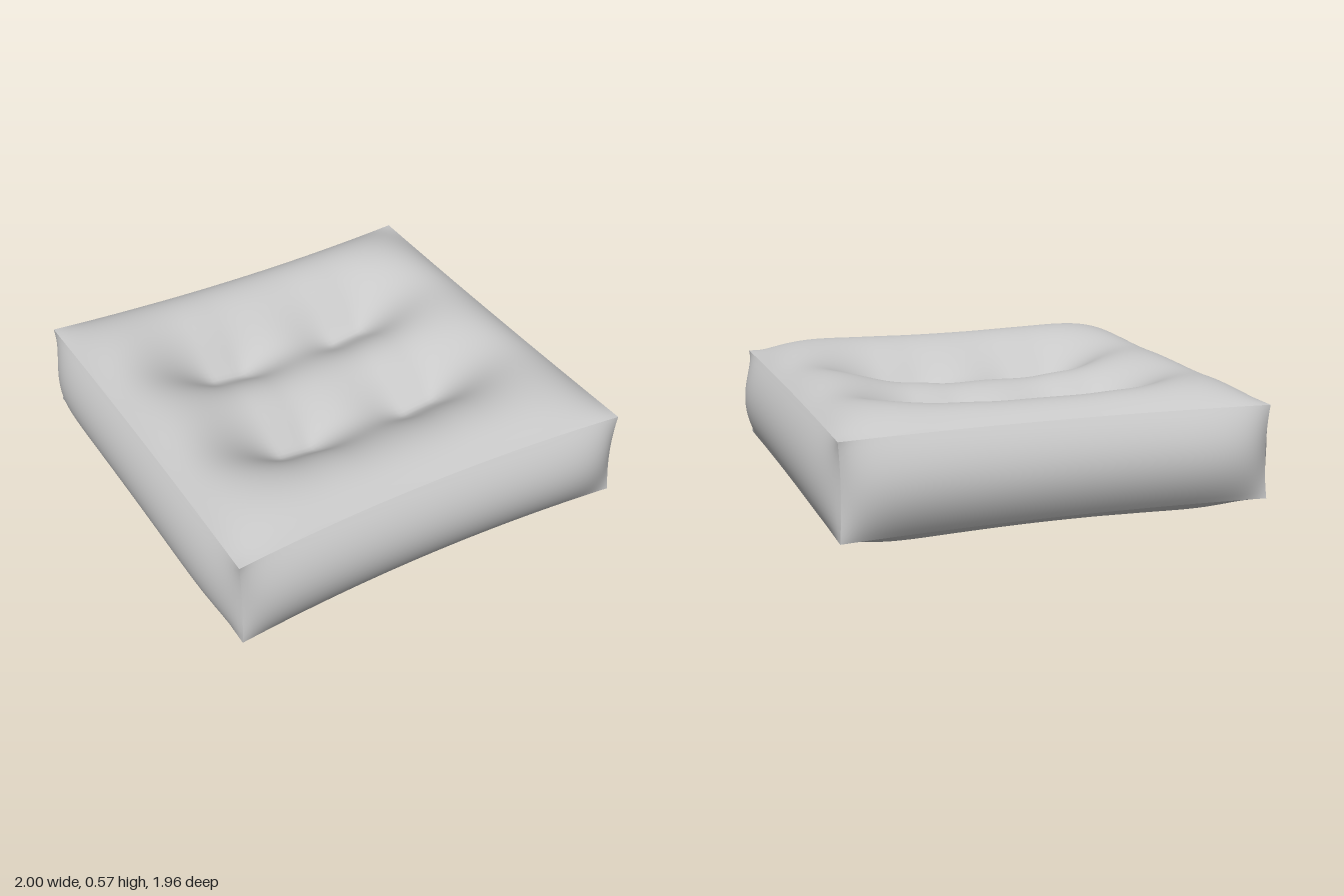
import * as THREE from 'three';

// Tufts sit in two rows, the same on the top and the underside
const ROWS = [-0.35, 0.28];
const COLUMNS = [-0.32, 0.32];

// Depth of the quilting at a point: a shallow valley along each row, with two deep pits in it
function quiltDepth(x, z) {
  let depth = 0;
  for (const rz of ROWS) {
    depth += 0.045 * Math.exp(-(((z - rz) / 0.19) ** 2) - (x / 0.85) ** 4);
    for (const cx of COLUMNS) {
      const dx = Math.max(Math.abs(x - cx) - 0.07, 0);
      const r = Math.hypot(dx, z - rz) / 0.265;
      depth += 0.215 * Math.exp(-Math.pow(r, 1.4));
    }
  }
  return depth;
}

export function createModel() {
  const group = new THREE.Group();
  group.name = 'tuftedCushion';

  const fabric = new THREE.MeshStandardMaterial({ color: 0xc8c8c8 });
  fabric.name = 'light grey fabric';

  // Six-sided block whose faces are inflated; face borders stay as crisp seams
  const geometry = new THREE.BoxGeometry(2, 2, 2, 80, 16, 80);
  const pos = geometry.attributes.position;
  for (let i = 0; i < pos.count; i++) {
    const u = pos.getX(i), v = pos.getY(i), w = pos.getZ(i);
    const round = 1 - v * v;

    // Bulging side walls with drawn-in seams, pinched slightly at the upright corners
    const pinch = 0.01 * round * (u * w) ** 8;
    const x = u * (0.93 - 0.008 * (1 - w * w) + 0.078 * round * (1 - w ** 8) - pinch);
    const z = w * (0.93 - 0.05 * (1 - u * u) + 0.078 * round * (1 - u ** 10) - pinch);

    // Puffed top and bottom, sunk by the quilting
    const puff = (1 - u ** 6) * (1 - w ** 6);
    const sag = 0.012 * (1 - u * u) + quiltDepth(x, z);
    pos.setXYZ(i, x, 0.292 + v * (0.205 + puff * (0.142 - sag)), z);
  }
  geometry.computeVertexNormals();

  const cushion = new THREE.Mesh(geometry, fabric);
  cushion.name = 'cushion';
  group.add(cushion);
  return group;
}
